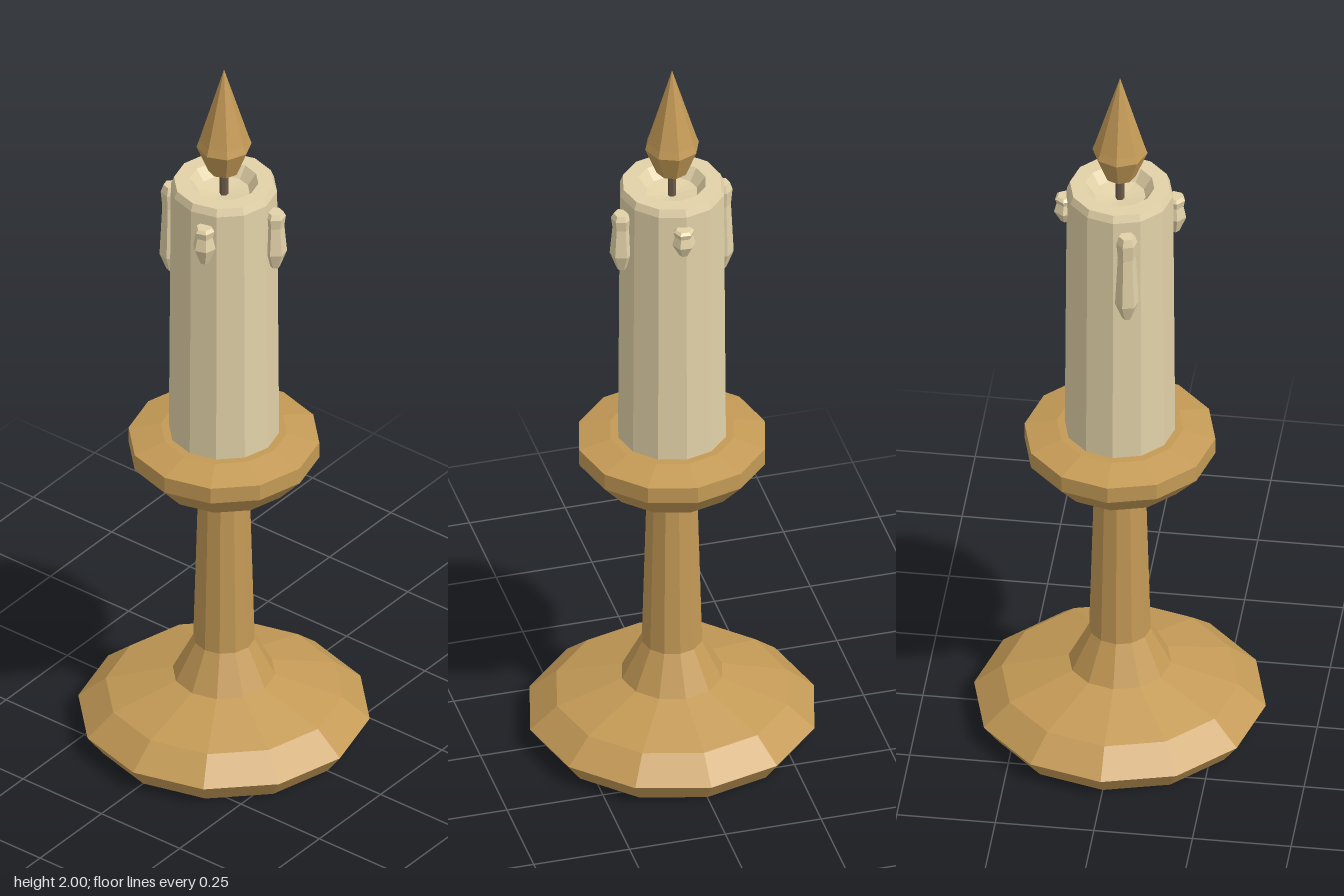
import * as THREE from 'three';

const flat = (name, color) => {
  const m = new THREE.MeshStandardMaterial({ color, flatShading: true });
  m.name = name;
  return m;
};

export function createModel() {
  const brass = flat('brass', 0xc49a56);
  const wax = flat('wax', 0xe2d2a8);
  const char = flat('wickGrey', 0x6b5a48);
  const model = new THREE.Group();
  model.name = 'candlestick';

  // Turned part from [radius, height] pairs, listed bottom to top
  const turned = (name, profile, material, sides = 12) => {
    const points = profile.map(([r, y]) => new THREE.Vector2(r, y));
    const mesh = new THREE.Mesh(new THREE.LatheGeometry(points, sides), material);
    mesh.name = name;
    model.add(mesh);
    return mesh;
  };

  // Holder
  turned('base', [[0, 0], [0.33, 0], [0.37, 0.055], [0.3, 0.115], [0.13, 0.167]], brass);
  turned('stem', [[0.13, 0.167], [0.078, 0.27], [0.066, 0.705]], brass);
  turned('dripPan', [[0.066, 0.705], [0.18, 0.77], [0.242, 0.84], [0.242, 0.885], [0.16, 0.905], [0.12, 0.905]], brass);

  // Candle with chamfered rim and melted hollow
  turned('candle', [[0.14, 0.9], [0.135, 1.64], [0.127, 1.66], [0.087, 1.66], [0.065, 1.63], [0, 1.62]], wax);
  turned('wick', [[0.011, 1.615], [0.011, 1.7], [0, 1.7]], char, 6);
  turned('flame', [[0, 1.69], [0.04, 1.695], [0.07, 1.77], [0.063, 1.79], [0, 2]], brass, 8);

  // Wax drips: x, z, bottom height
  const drips = [
    [-0.14, 0.036, 1.35],
    [0.14, -0.03, 1.44],
    [0.042, 0.134, 1.5],
    [0.008, -0.14, 1.53],
  ];
  drips.forEach(([x, z, bottom], i) => {
    const h = 1.61 - bottom;
    const drip = turned('waxDrip' + (i + 1), [
      [0, 0], [0.012, 0.003], [0.03, Math.min(0.05, h * 0.45)],
      [0.023, h * 0.75], [0.027, h * 0.92], [0.02, h], [0, h],
    ], wax, 6);
    drip.position.set(x, bottom, z);
    drip.rotation.y = Math.atan2(x, z) + Math.PI / 6;
  });

  return model;
}
